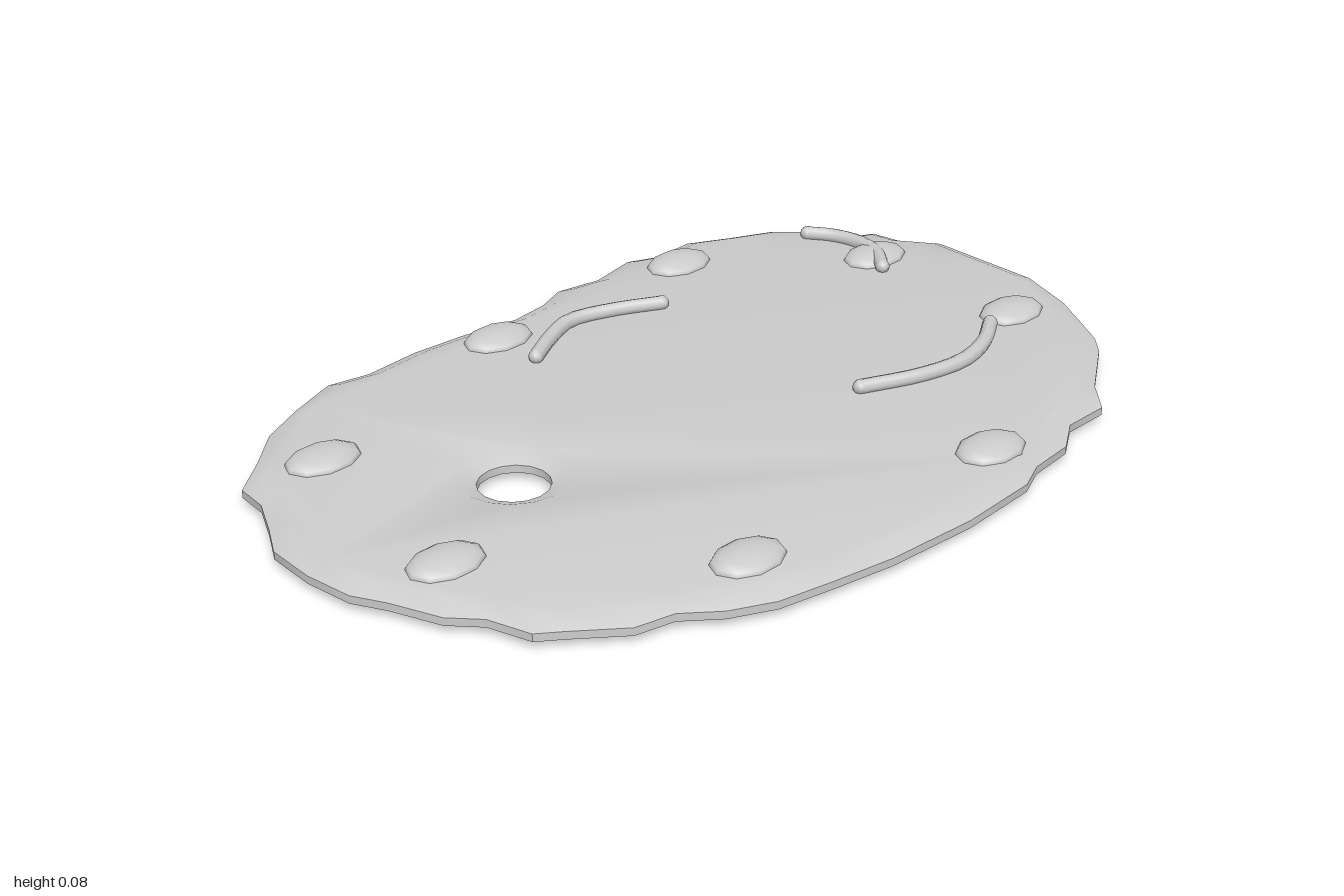
import * as THREE from 'three';
import { toCreasedNormals } from 'three/addons/utils/BufferGeometryUtils.js';

const grey = new THREE.MeshStandardMaterial({ color: 0xcccccc });
grey.name = 'light grey';

// Wavy rim of the board, as [x, z]
const RIM = [
  [0.995, -0.215], [0.985, 0.06], [0.93, 0.2], [0.83, 0.36], [0.785, 0.405], [0.64, 0.5], [0.57, 0.57],
  [0.46, 0.57], [0.38, 0.62], [0.27, 0.63], [0.2, 0.66], [0.01, 0.67], [-0.2, 0.655], [-0.34, 0.63],
  [-0.46, 0.605], [-0.55, 0.56], [-0.62, 0.5], [-0.705, 0.48], [-0.8, 0.4], [-0.845, 0.365], [-0.87, 0.27],
  [-0.92, 0.21], [-0.957, 0.1], [-0.99, 0.03], [-1, -0.08], [-0.99, -0.195], [-0.945, -0.27], [-0.9, -0.355],
  [-0.89, -0.43], [-0.8, -0.5], [-0.715, -0.575], [-0.61, -0.625], [-0.49, -0.67], [-0.395, -0.65],
  [-0.26, -0.66], [-0.13, -0.65], [0.005, -0.628], [0.1, -0.64], [0.175, -0.67], [0.28, -0.65],
  [0.4, -0.675], [0.47, -0.645], [0.575, -0.65], [0.67, -0.6], [0.765, -0.555], [0.845, -0.475],
  [0.87, -0.4], [0.93, -0.37], [0.94, -0.3],
];

// Paint blobs, as [x, z]
const BLOBS = [
  [-0.11, -0.555], [0.45, -0.555], [-0.72, -0.39], [0.8, -0.255],
  [-0.81, 0.09], [0.78, 0.165], [-0.41, 0.48], [0.24, 0.535],
];

// Brush strokes, each a path of [x, z]
const STROKES = [
  [[-0.125, -0.415], [-0.035, -0.465], [0.05, -0.495], [0.15, -0.468], [0.255, -0.415]],
  [[0.25, 0.18], [0.38, 0.235], [0.5, 0.255], [0.6, 0.23], [0.685, 0.18]],
  [[0.775, -0.445], [0.808, -0.39], [0.82, -0.32], [0.8, -0.25], [0.752, -0.19]],
];

function add(parent, name, geometry) {
  const mesh = new THREE.Mesh(geometry, grey);
  mesh.name = name;
  parent.add(mesh);
  return mesh;
}

// Bevelled board with the thumb hole
function boardGeometry() {
  const shape = new THREE.Shape(RIM.map(([x, z]) => new THREE.Vector2(x, z)));
  shape.holes.push(new THREE.Path().absarc(-0.5, -0.068, 0.075, 0, Math.PI * 2, true));
  const g = new THREE.ExtrudeGeometry(shape, {
    depth: 0.017, bevelThickness: 0.0175, bevelSize: 0.04, bevelOffset: -0.04, bevelSegments: 1, curveSegments: 8,
  });
  g.rotateX(Math.PI / 2).translate(0, 0.0345, 0);
  return toCreasedNormals(g, 0.6);
}

export function createModel() {
  const model = new THREE.Group();
  model.name = 'paintPalette';
  add(model, 'board', boardGeometry());

  const blob = new THREE.SphereGeometry(1, 10, 8);
  BLOBS.forEach(([x, z], i) => {
    const mesh = add(model, `paintBlob${i + 1}`, blob);
    mesh.position.set(x, 0.05, z);
    mesh.scale.set(0.086, 0.026, 0.062);
  });

  // Strokes are tubes closed with small rounded ends
  const cap = new THREE.SphereGeometry(0.017, 8, 6);
  STROKES.forEach((path, i) => {
    const stroke = new THREE.Group();
    stroke.name = `brushStroke${i + 1}`;
    const points = path.map(([x, z]) => new THREE.Vector3(x, 0.062, z));
    add(stroke, 'strokeBody', new THREE.TubeGeometry(new THREE.CatmullRomCurve3(points), 12, 0.017, 8));
    for (const end of [points[0], points[points.length - 1]]) add(stroke, 'strokeEnd', cap).position.copy(end);
    model.add(stroke);
  });
  return model;
}
